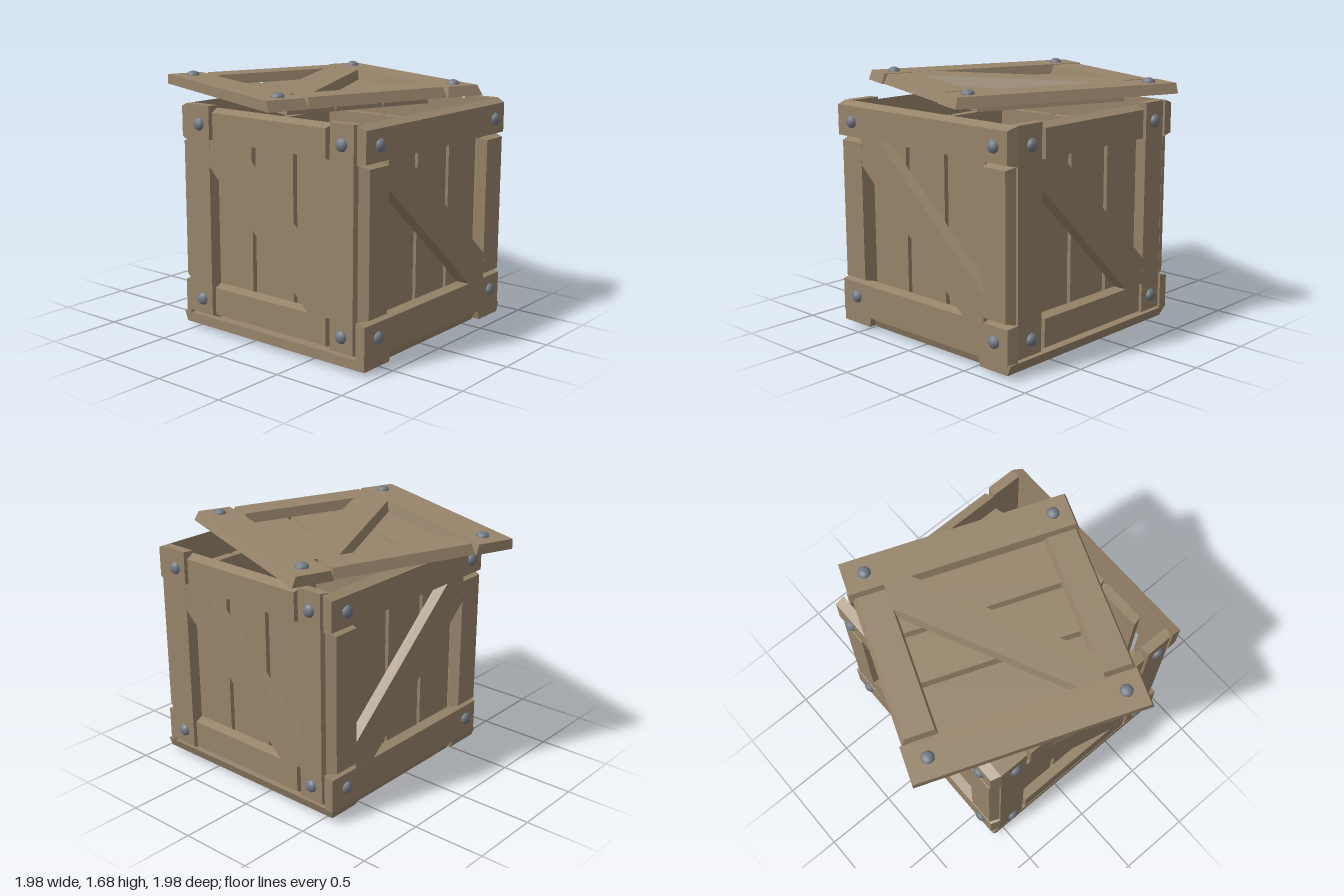
import * as THREE from 'three';

const wood = new THREE.MeshStandardMaterial({ color: 0x97846a });
wood.name = 'weatheredWood';
const steel = new THREE.MeshStandardMaterial({ color: 0x737b87 });
steel.name = 'boltSteel';

const T = 0.066; // thickness of one layer of boards

// Board with a convex outline (anticlockwise); each edge slopes inward by its inset
function board(name, pts, insets, z0, z1) {
  const n = pts.length;
  const normals = pts.map(([x, y], i) => {
    const [X, Y] = pts[(i + 1) % n];
    const l = Math.hypot(X - x, Y - y);
    return [-(Y - y) / l, (X - x) / l];
  });
  const top = pts.map(([x, y], i) => {
    const j = (i + n - 1) % n;
    const [a, b] = normals[j], [c, d] = normals[i];
    const det = a * d - b * c;
    return [x + (insets[j] * d - b * insets[i]) / det, y + (a * insets[i] - insets[j] * c) / det, z1];
  });
  const base = pts.map(([x, y]) => [x, y, z0]);
  const out = [];
  for (let i = 0; i < n; i++) {
    const k = (i + 1) % n;
    out.push(...base[i], ...base[k], ...top[k], ...base[i], ...top[k], ...top[i]);
    if (i > 0 && i < n - 1) {
      out.push(...top[0], ...top[i], ...top[k]);
      out.push(...base[0], ...base[k], ...base[i]);
    }
  }
  const geo = new THREE.BufferGeometry();
  geo.setAttribute('position', new THREE.Float32BufferAttribute(out, 3));
  geo.computeVertexNormals();
  const mesh = new THREE.Mesh(geo, wood);
  mesh.name = name;
  return mesh;
}

// Rectangle; insets are for the bottom, right, top and left edges
const rect = (name, x0, x1, y0, y1, insets, z0 = 0, z1 = T) =>
  board(name, [[x0, y0], [x1, y0], [x1, y1], [x0, y1]], insets, z0, z1);

const boltGeo = new THREE.IcosahedronGeometry(0.043, 1);
boltGeo.scale(1, 1, 0.72);

// One braced panel facing +z. a, b: half sizes; ia, ib: half opening;
// sign: direction of the brace; across: planks run across the long boards
function panel({ a, b, ia, ib, bolts, sign, across = false }) {
  const g = new THREE.Group();
  const e = 0.016, o = 0.025;

  // Long boards, then the short boards between them
  g.add(rect('longBoard', -a, -ia, -b, b, [o, e, 0, 0]));
  g.add(rect('longBoard', ia, a, -b, b, [o, o, 0, e]));
  g.add(rect('shortBoard', -ia, ia, -b + 0.015, -ib, [o, e, e, e]));
  g.add(rect('shortBoard', -ia, ia, ib, b - 0.015, [e, e, o, e]));

  // Diagonal brace, overlapping the frame slightly at its corners
  const c = 0.18, A = ia + 0.018, B = ib + 0.018, s = c + 0.018;
  let pts = [[-A, -B], [-A + s, -B], [A, B - s], [A, B], [A - s, B], [-A, -B + s]];
  if (sign < 0) pts = pts.map(([x, y]) => [-x, y]).reverse();
  const slopes = sign > 0 ? [0, e, 0, 0, e, 0] : [e, 0, 0, e, 0, 0];
  g.add(board('diagonalBrace', pts, slopes, 0, T - 0.0008));

  // Inner planks with V-shaped grooves between them
  const planks = new THREE.Group();
  planks.name = 'planks';
  const h = 0.52, w = (2 * h) / 3;
  for (let i = 0; i < 3; i++) {
    planks.add(rect('plank', -h + i * w, -h + (i + 1) * w, -h, h, [0, 0.016, 0, 0.016], -T, 0));
  }
  if (across) planks.rotation.z = Math.PI / 2;
  g.add(planks);

  // Corner bolts
  for (const x of [-1, 1]) for (const y of [-1, 1]) {
    const bolt = new THREE.Mesh(boltGeo, steel);
    bolt.name = 'bolt';
    bolt.position.set(x * bolts[0], y * bolts[1], T);
    g.add(bolt);
  }
  return g;
}

export function createModel() {
  const model = new THREE.Group();
  model.name = 'crate';
  const q = Math.PI / 2, cx = 0.06, cy = 0.805, cz = 0.17;
  const place = (name, opts, pos, rot) => {
    const outer = new THREE.Group();
    const p = panel(opts);
    if (opts.across) p.rotation.z = q; // long boards lie level
    outer.add(p);
    outer.name = name;
    outer.position.set(...pos);
    outer.rotation.set(...rot);
    model.add(outer);
  };

  const ends = { a: 0.715, b: 0.77, ia: 0.475, ib: 0.53, bolts: [0.59, 0.635], across: true };
  const sides = { a: 0.705, b: 0.715, ia: 0.485, ib: 0.475, bolts: [0.59, 0.59], sign: -1 };
  const flat = { a: 0.768, b: 0.768, ia: 0.5, ib: 0.52, bolts: [0.635, 0.63] };

  place('frontPanel', { ...ends, sign: 1 }, [cx, cy, cz + 0.704], [0, 0, 0]);
  place('backPanel', { ...ends, sign: -1 }, [cx, cy, cz - 0.704], [0, Math.PI, 0]);
  place('leftPanel', sides, [cx + 0.704, cy, cz], [0, q, 0]);
  place('rightPanel', sides, [cx - 0.704, cy, cz], [0, -q, 0]);
  place('bottomPanel', { ...flat, sign: -1 }, [cx, 0.094, cz], [q, 0, 0]);

  // Loose lid, turned askew on top
  const lid = new THREE.Group();
  lid.name = 'lid';
  const lidPanel = panel({ ...flat, sign: 1 });
  lidPanel.rotation.x = -q;
  lid.add(lidPanel);
  lid.position.y = 1.585;
  lid.rotation.y = -0.366;
  model.add(lid);

  return model;
}
